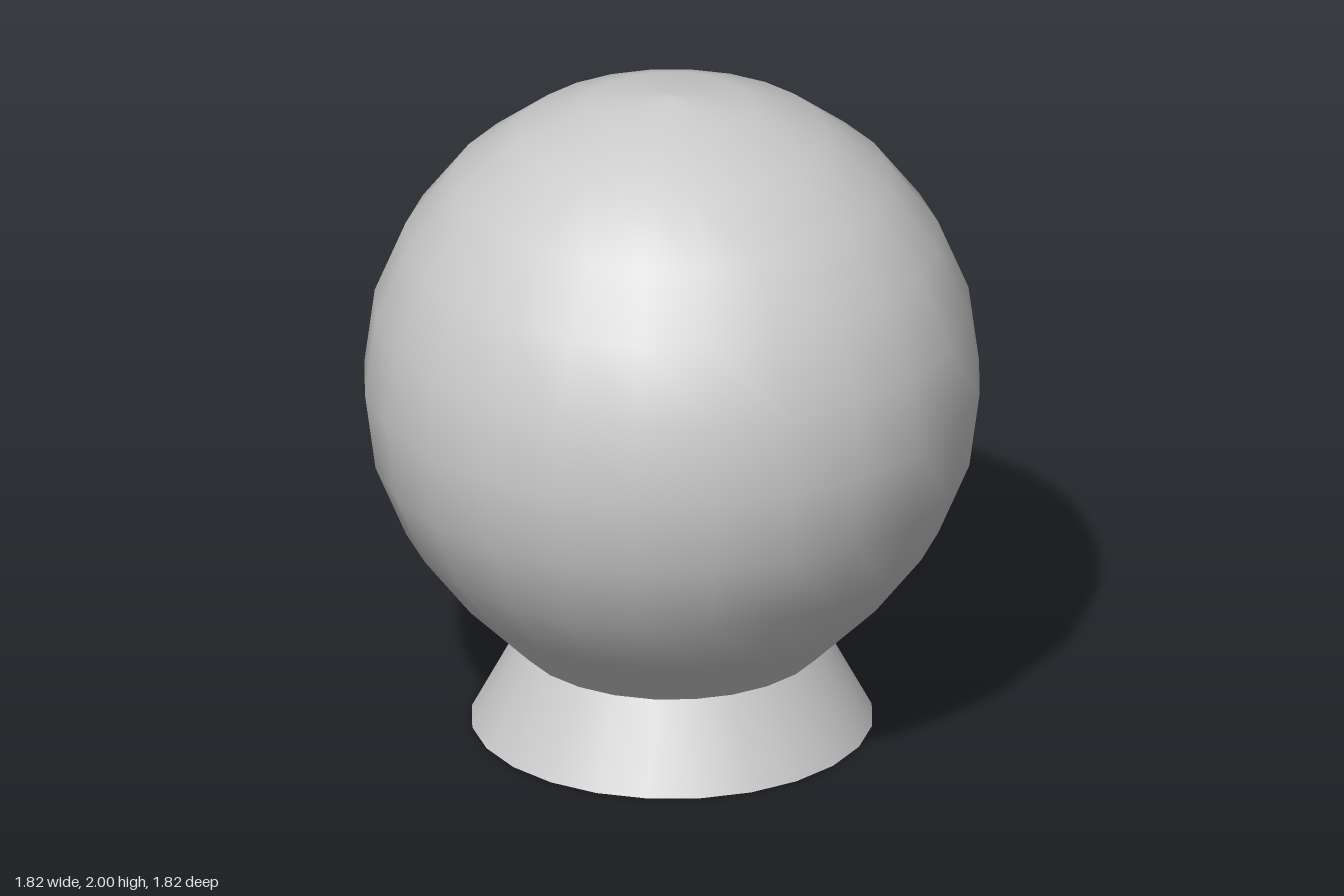
import * as THREE from 'three';

const SEGMENTS = 24;
const RADIUS = 0.91;
const CENTRE_Y = 1.09;
const NECK = new THREE.Vector2(0.455, 0.258);

export function createModel() {
  const group = new THREE.Group();
  const material = new THREE.MeshStandardMaterial({ color: 0xcccccc, side: THREE.DoubleSide });

  // Revolves a profile, listed from bottom to top, into a named open shell
  const addShell = (name, profile) => {
    const mesh = new THREE.Mesh(new THREE.LatheGeometry(profile, SEGMENTS), material);
    mesh.name = name;
    group.add(mesh);
  };

  // Globe: rings every 15 degrees, open at the neck
  const globe = [NECK];
  for (let i = 3; i <= 12; i++) {
    const a = (i * Math.PI) / 12;
    globe.push(new THREE.Vector2(
      i === 12 ? 0 : RADIUS * Math.sin(a),
      CENTRE_Y - RADIUS * Math.cos(a)
    ));
  }
  addShell('globe', globe);

  // Flared base: thin open skirt under the neck
  addShell('base', [new THREE.Vector2(0.592, 0), NECK]);

  return group;
}
